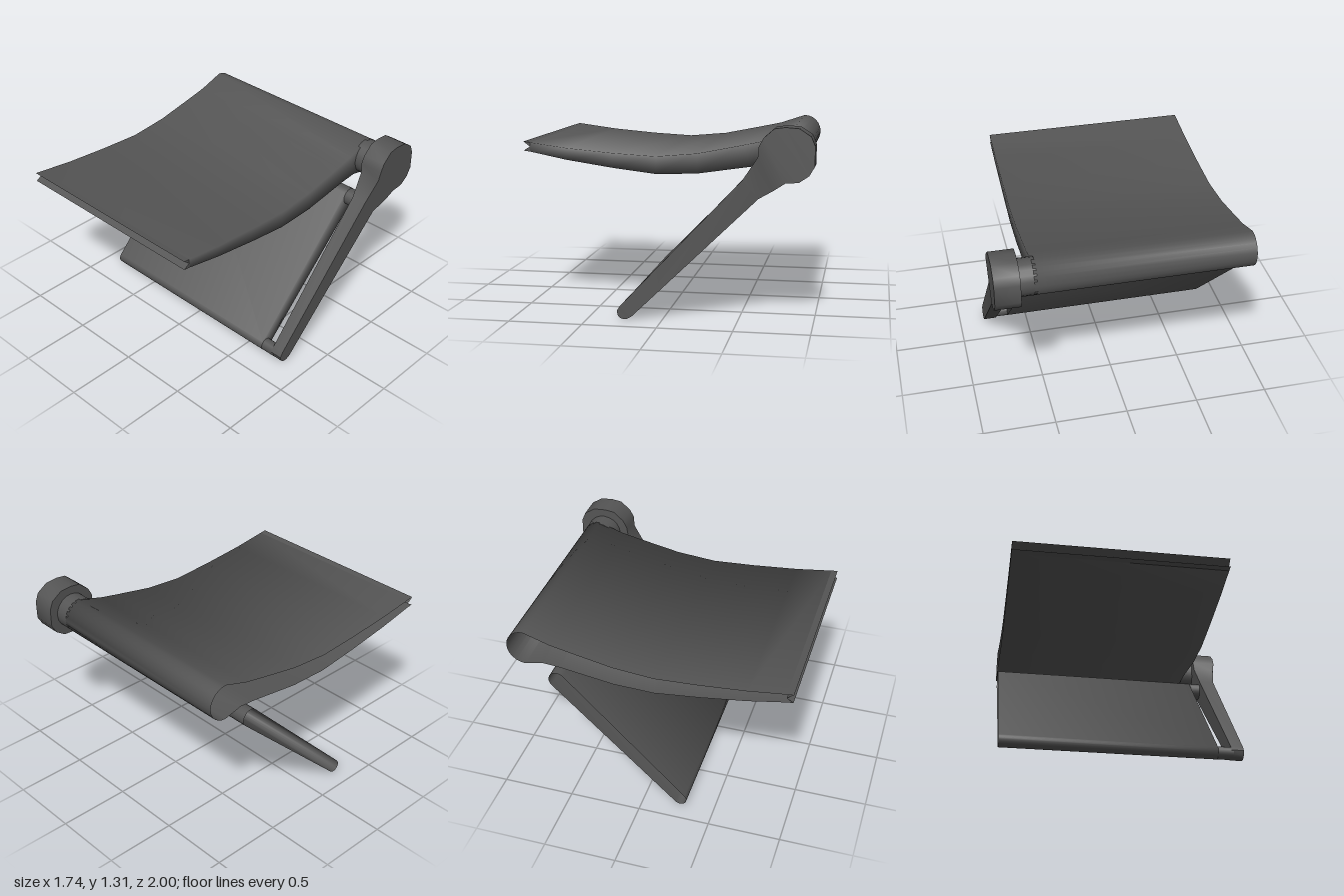
import * as THREE from 'three';
import { toCreasedNormals } from 'three/addons/utils/BufferGeometryUtils.js';

const grey = new THREE.MeshStandardMaterial({ color: 0x555555, side: THREE.DoubleSide });
grey.name = 'darkGrey';

// Lofts four-cornered sections [topZ, topY, bottomZ, bottomY, x0, x1] running towards +z.
// With open = true the x0 side is left out, so the body is a hollow shell.
function loft(name, sections, crease, open = false) {
  const rings = sections.map(([tz, ty, bz, by, x0, x1]) => [
    new THREE.Vector3(x0, ty, tz), new THREE.Vector3(x1, ty, tz),
    new THREE.Vector3(x1, by, bz), new THREE.Vector3(x0, by, bz),
  ]);
  const pos = [];
  const tri = (...corners) => {
    if (new THREE.Triangle(...corners).getArea() < 1e-7) return;
    corners.forEach((p) => pos.push(p.x, p.y, p.z));
  };
  for (let i = 0; i < rings.length - 1; i++) {
    for (let k = 0; k < (open ? 3 : 4); k++) {
      const p = rings[i], q = rings[i + 1], n = (k + 1) % 4;
      tri(p[k], q[k], q[n]);
      tri(p[k], q[n], p[n]);
    }
  }
  const geometry = new THREE.BufferGeometry();
  geometry.setAttribute('position', new THREE.Float32BufferAttribute(pos, 3));
  const mesh = new THREE.Mesh(toCreasedNormals(geometry, crease), grey);
  mesh.name = name;
  return mesh;
}

// Round end of a profile: dir is the axis heading in (z, y); sign -1 starts it, +1 finishes it
function roundEnd(z, y, r, dir, sign, x0, x1, steps = 5) {
  const [dz, dy] = dir;
  const out = [];
  for (let i = 0; i <= steps; i++) {
    const a = (Math.PI / 2) * (sign < 0 ? i : steps - i) / steps;
    const u = sign * r * Math.cos(a), v = r * Math.sin(a);
    out.push([z + dz * u - dy * v, y + dy * u + dz * v, z + dz * u + dy * v, y + dy * u - dz * v, x0, x1]);
  }
  return out;
}

// Round pin lying along x
function pin(name, r, x0, x1, y, z) {
  const mesh = new THREE.Mesh(new THREE.CylinderGeometry(r, r, x1 - x0, 20), grey);
  mesh.name = name;
  mesh.rotation.z = Math.PI / 2;
  mesh.position.set((x0 + x1) / 2, y, z);
  return mesh;
}

export function createModel() {
  const model = new THREE.Group();
  model.name = 'foldingPanelStand';
  const L = -0.87;

  // Curved upper panel, rolled round the hinge bar at the back
  const U = 0.6;
  const upper = [
    [-0.64, 1.19, -0.69, 1.03],
    [-0.5, 1.16, -0.57, 1.02],
    [-0.2, 1.1, -0.2, 0.965],
    [0.08, 1.075, 0.08, 0.956],
    [0.38, 1.092, 0.38, 0.992],
    [0.7, 1.12, 0.7, 1.04],
    [0.955, 1.154, 0.955, 1.091],
  ].map((s) => [...s, L, U]);
  model.add(loft('upperPanel', [...roundEnd(-0.82, 1.125, 0.125, [1, 0], -1, L, U, 6), ...upper], 1.7, true));

  // Two lips forming the notched front edge
  model.add(loft('upperLip', [[0.955, 1.154, 0.955, 1.125, L, U], [1, 1.16, 1, 1.16, L, U]], 0.6, true));
  model.add(loft('lowerLip', [[0.955, 1.125, 0.955, 1.091, L, U], [1, 1.097, 1, 1.097, L, U]], 0.6, true));

  // Sloping lower panel with rounded ends
  const dir = [0.709, -0.705], P = 0.64;
  model.add(loft('lowerPanel', [
    ...roundEnd(-0.6, 0.9, 0.062, dir, -1, L, P),
    ...roundEnd(0.258, 0.046, 0.046, dir, 1, L, P),
  ], 1.7, true));

  // Side arm: round head, tapering neck, slim shaft and rounded foot
  const arm = [
    [-0.975, 1.25, -0.975, 1.25, 0.695, 0.865],
    [-0.9, 1.3, -1, 1.19, 0.695, 0.865],
    [-0.81, 1.307, -1, 1.06, 0.695, 0.865],
    [-0.74, 1.297, -0.965, 1.0, 0.695, 0.865],
    [-0.67, 1.235, -0.9, 0.955, 0.695, 0.865],
    [-0.642, 1.18, -0.815, 0.95, 0.695, 0.865],
    [-0.635, 1.11, -0.74, 0.9, 0.703, 0.855],
    [-0.535, 0.96, -0.64, 0.84, 0.72, 0.83],
    [0.283, 0.09, 0.205, 0.02, 0.733, 0.82],
    [0.305, 0.055, 0.24, 0.002, 0.733, 0.82],
    [0.297, 0.025, 0.265, 0.002, 0.733, 0.82],
    [0.285, 0.01, 0.285, 0.01, 0.733, 0.82],
  ];
  model.add(loft('sideArm', arm, 0.75));

  // Pins joining the arm to both panels
  model.add(pin('hingeBar', 0.125, 0.58, 0.71, 1.125, -0.82));
  model.add(pin('upperPin', 0.06, 0.62, 0.75, 0.9, -0.6));
  model.add(pin('footPin', 0.045, 0.62, 0.75, 0.046, 0.258));
  return model;
}
